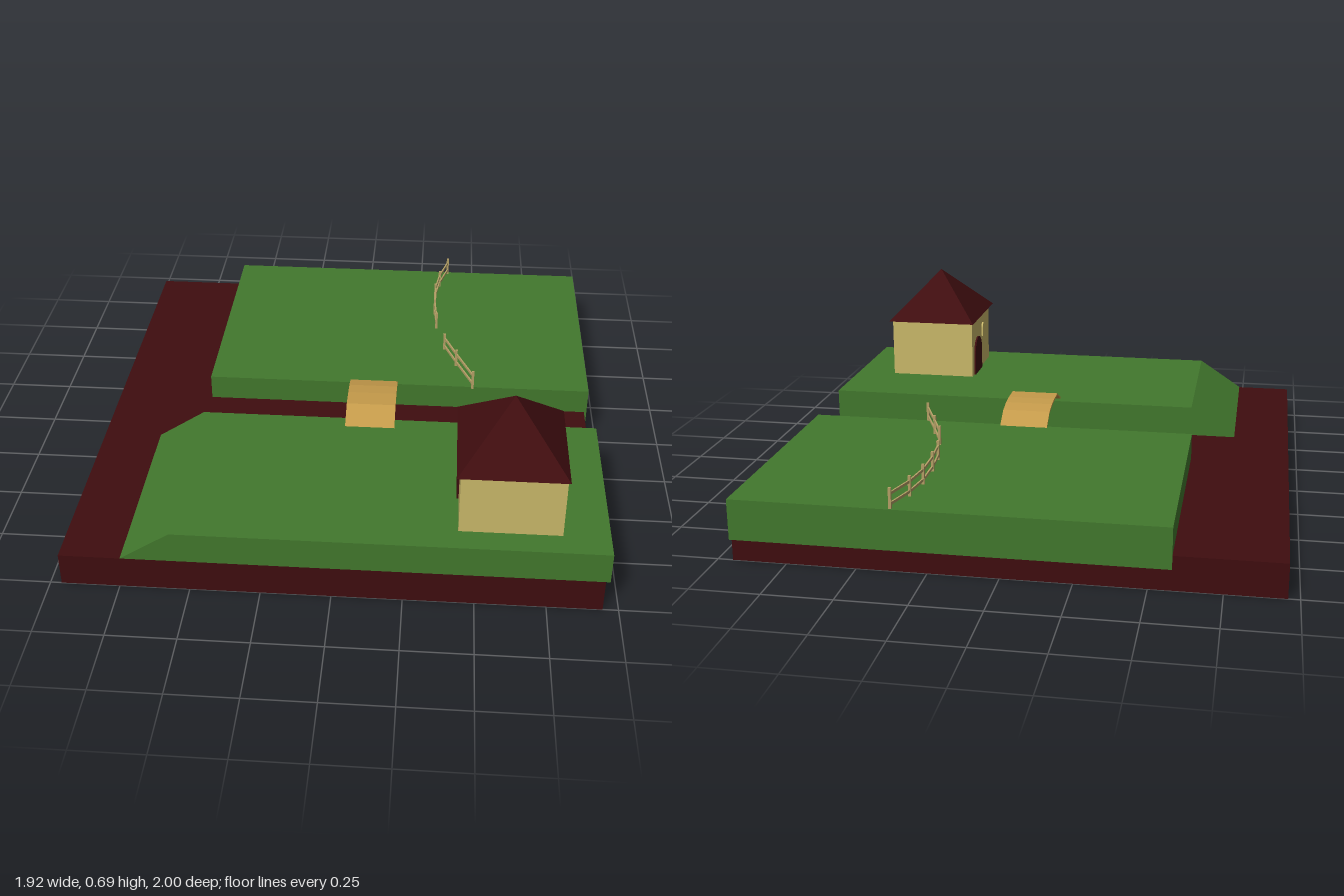
import * as THREE from 'three';

const mat = (name, color, side = THREE.FrontSide) => {
  const m = new THREE.MeshStandardMaterial({ color, flatShading: true, side });
  m.name = name;
  return m;
};

export function createModel() {
  const group = new THREE.Group();
  const earth = mat('dark red earth', 0x3f0d0f);
  const grass = mat('grass green', 0x42782d);
  const plaster = mat('pale yellow plaster', 0xcab96a);
  const plank = mat('bridge wood', 0xc49a4a);
  const fenceWood = mat('fence wood', 0xb5a066);

  const add = (name, geometry, material, parent = group) => {
    const mesh = new THREE.Mesh(geometry, material);
    mesh.name = name;
    parent.add(mesh);
    return mesh;
  };
  // Box given by its lowest and highest corners
  const box = (name, material, [x0, y0, z0], [x1, y1, z1], parent) => {
    const mesh = add(name, new THREE.BoxGeometry(x1 - x0, y1 - y0, z1 - z0), material, parent);
    mesh.position.set((x0 + x1) / 2, (y0 + y1) / 2, (z0 + z1) / 2);
    return mesh;
  };
  const polygon = (points) => new THREE.Shape(points.map(([x, y]) => new THREE.Vector2(x, y)));
  const extrude = (shape, depth, curveSegments = 8) =>
    new THREE.ExtrudeGeometry(shape, { depth, bevelEnabled: false, curveSegments });

  // Ground: earth slab with two grass banks either side of the stream bed
  box('earthBase', earth, [-0.96, 0, -1], [0.945, 0.125, 1]);
  box('backBank', grass, [-0.58, 0.075, -1.001], [0.955, 0.225, -0.03]);
  const bank = polygon([[-0.74, 0.126], [0.96, 0.126], [0.96, 0.245], [-0.56, 0.245]]);
  add('frontBank', extrude(bank, 0.746), grass).position.z = 0.255;

  // House
  const house = new THREE.Group();
  house.name = 'house';
  group.add(house);
  box('walls', plaster, [0.435, 0.24, 0.56], [0.795, 0.498, 0.91], house);
  const roof = add('roof', new THREE.ConeGeometry(Math.SQRT1_2, 0.2, 4).rotateY(Math.PI / 4), earth, house);
  roof.scale.set(0.38, 1, 0.43);
  roof.position.set(0.61, 0.595, 0.73);

  // Arched plates on the wall facing -x
  const arch = (name, material, z, y, width, height) => {
    const r = width / 2;
    const shape = new THREE.Shape();
    shape.moveTo(-r, 0);
    shape.lineTo(r, 0);
    shape.lineTo(r, height - r);
    shape.absarc(0, height - r, r, 0, Math.PI, false);
    const mesh = add(name, extrude(shape, 0.008), material, house);
    mesh.rotation.y = -Math.PI / 2;
    mesh.position.set(0.436, y, z);
  };
  arch('door', earth, 0.665, 0.245, 0.13, 0.16);
  arch('wallLamp', plaster, 0.775, 0.385, 0.04, 0.06);

  // Bridge: thin arched deck, profile given as (z, y)
  const top = [[0.315, 0.243], [0.22, 0.29], [0.14, 0.29], [0.08, 0.285], [0.02, 0.271], [-0.03, 0.238], [-0.06, 0.215]];
  const under = top.map(([z, y]) => [z, y - 0.008]).reverse();
  const deck = polygon([...top, ...under].map(([z, y]) => [-z, y]));
  const bridge = add('bridge', extrude(deck, 0.19), plank);
  bridge.rotation.y = Math.PI / 2;
  bridge.position.x = -0.003;

  // Fences: posts at the given (x, z) points joined by two rails
  const buildFence = (name, posts) => {
    const fence = new THREE.Group();
    fence.name = name;
    group.add(fence);
    posts.forEach(([x, z], i) => {
      box('post', fenceWood, [x - 0.005, 0.22, z - 0.005], [x + 0.005, 0.3, z + 0.005], fence);
      if (i === 0) return;
      const [px, pz] = posts[i - 1];
      for (const y of [0.242, 0.279]) {
        const length = Math.hypot(x - px, z - pz);
        const rail = add('rail', new THREE.BoxGeometry(0.006, 0.01, length), fenceWood, fence);
        rail.position.set((x + px) / 2, y, (z + pz) / 2);
        rail.rotation.y = Math.atan2(x - px, z - pz);
      }
    });
  };
  buildFence('backFence', [[0.375, -0.99], [0.34, -0.865], [0.323, -0.745], [0.323, -0.61], [0.333, -0.487]]);
  buildFence('streamFence', [[0.37, -0.315], [0.42, -0.19], [0.488, -0.03]]);

  return group;
}
